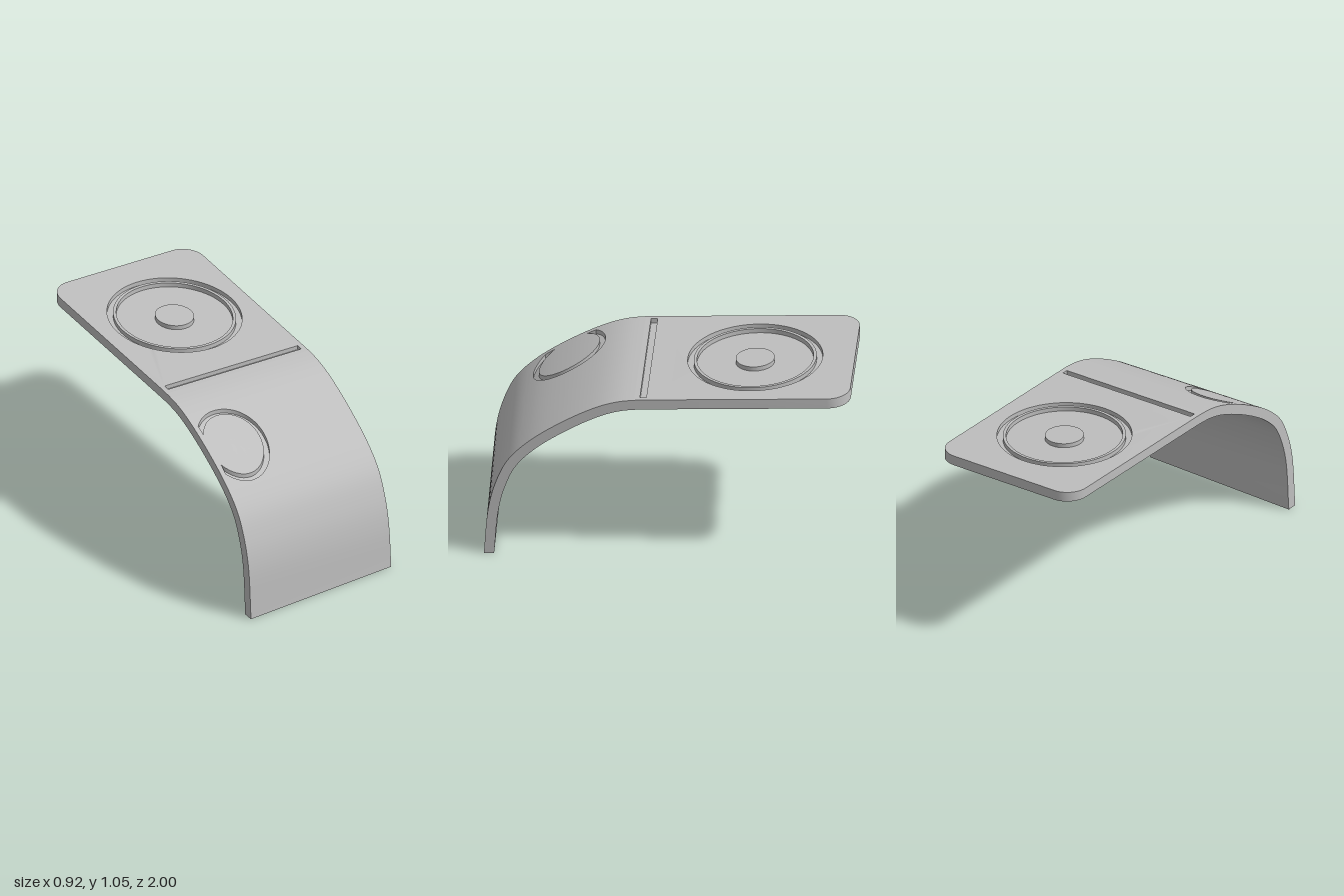
import * as THREE from 'three';
import { mergeGeometries, toCreasedNormals } from 'three/addons/utils/BufferGeometryUtils.js';

const HALF = 0.46, CORNER = 0.12, THICK = 0.057, DEPTH = 0.025;
const FLAT_END = 0.166, CURVE_END = 0.8;

// Side profile of the outer face as [z, y], from the back edge to the foot
const flatY = (z) => 1.007 - 0.043 * z;
const profile = [];
for (let i = 0; i <= 8; i++) {
  const z = -1 + CORNER * (1 - Math.cos((i / 8) * Math.PI / 2));
  profile.push([z, flatY(z)]);
}
const bend = new THREE.CatmullRomCurve3([
  [0.05, flatY(0.05)], [0.17, 0.998], [0.27, 0.983], [0.38, 0.947], [0.568, 0.852],
  [0.755, 0.727], [0.87, 0.61], [0.935, 0.475], [0.975, 0.32], [1, 0],
].map(([z, y]) => new THREE.Vector3(0, y, z)));
bend.getSpacedPoints(56).forEach((p) => profile.push([p.z, p.y]));

// Outer height at a given z
function height(z) {
  let i = 1;
  while (i < profile.length - 1 && profile[i][0] < z) i++;
  const [a, b] = [profile[i - 1], profile[i]];
  return a[1] + (b[1] - a[1]) * (z - a[0]) / (b[0] - a[0]);
}

// Inner profile, offset along the normal
const inner = profile.map((p, i) => {
  const a = profile[Math.max(i - 1, 0)], b = profile[Math.min(i + 1, profile.length - 1)];
  const dz = b[0] - a[0], dy = b[1] - a[1], l = Math.hypot(dz, dy);
  const y = p[1] - THICK * dz / l;
  return [p[0] + THICK * dy / l, i === profile.length - 1 ? 0 : y];
});

// Slight sideways tilt of the whole strip
function warp([x, y, z]) {
  const t = (x + HALF) / (2 * HALF);
  return [x, y - 0.048 * t * Math.min(1, y / 0.3), z > 0 ? z * (1 - 0.025 * t) : z];
}

// Skin between successive rows of points
function loft(rows) {
  const out = [];
  for (let i = 0; i < rows.length - 1; i++) {
    for (let j = 0; j < rows[i].length - 1; j++) {
      const a = rows[i][j], b = rows[i][j + 1], c = rows[i + 1][j], d = rows[i + 1][j + 1];
      for (const p of [a, c, b, b, c, d]) out.push(...warp(p));
    }
  }
  const g = new THREE.BufferGeometry();
  g.setAttribute('position', new THREE.Float32BufferAttribute(out, 3));
  return g;
}

const onTop = (x, z, drop = 0) => [x, height(z) - drop, z];

function circleRing(cz, r, drop, n = 96) {
  return Array.from({ length: n + 1 }, (_, i) => {
    const a = (i / n) * Math.PI * 2;
    return onTop(r * Math.cos(a), cz + r * Math.sin(a), drop);
  });
}

// Underside, rims and both end faces in one U-shaped skin
function shellGeometry() {
  const cols = 12;
  const halfAt = (i) => (i > 8 ? HALF
    : HALF - CORNER + CORNER * Math.sin((i / 8) * Math.PI / 2));
  const row = (i, collapsed) => {
    const w = halfAt(i), [z, y] = profile[i], [iz, iy] = collapsed ? profile[i] : inner[i];
    const pts = [[w, y, z]];
    for (let c = 0; c <= cols; c++) pts.push([w - 2 * w * c / cols, iy, iz]);
    pts.push([-w, y, z]);
    return pts;
  };
  const last = profile.length - 1;
  return loft([row(0, true), ...profile.map((_, i) => row(i, false)), row(last, true)]);
}

// Flat top with openings for the dial and the slot
const DIAL_Z = -0.46, DIAL_R = 0.365;
const SLOT = { x: 0.43, z0: 0.1, z1: 0.136 };
function topGeometry() {
  const s = new THREE.Shape();
  s.moveTo(-HALF, -FLAT_END);
  s.lineTo(HALF, -FLAT_END);
  s.absarc(HALF - CORNER, 1 - CORNER, CORNER, 0, Math.PI / 2, false);
  s.absarc(-HALF + CORNER, 1 - CORNER, CORNER, Math.PI / 2, Math.PI, false);
  s.closePath();
  s.holes.push(new THREE.Path().absarc(0, -DIAL_Z, DIAL_R, 0, Math.PI * 2, true));
  s.holes.push(new THREE.Path([
    [-SLOT.x, -SLOT.z1], [-SLOT.x, -SLOT.z0], [SLOT.x, -SLOT.z0], [SLOT.x, -SLOT.z1],
  ].map(([x, y]) => new THREE.Vector2(x, y))));
  const g = new THREE.ShapeGeometry(s, 48).toNonIndexed();
  const pos = g.attributes.position;
  for (let i = 0; i < pos.count; i++) {
    const z = -pos.getY(i);
    pos.setXYZ(i, ...warp([pos.getX(i), height(z), z]));
  }
  return g;
}

// Ring groove, thin ridge, sunken floor and centre disc
function dialGeometry() {
  return loft([
    [DIAL_R, 0], [DIAL_R, DEPTH], [0.332, DEPTH], [0.332, 0], [0.315, 0],
    [0.315, DEPTH], [0.105, DEPTH], [0.105, 0], [0, 0],
  ].map(([r, d]) => circleRing(DIAL_Z, r, d)));
}

function slotGeometry() {
  const { x, z0, z1 } = SLOT, mid = (z0 + z1) / 2;
  const ring = [[x, z0], [x, z1], [-x, z1], [-x, z0], [x, z0]];
  return loft([
    ring.map(([px, pz]) => onTop(px, pz)),
    ring.map(([px, pz]) => onTop(px, pz, DEPTH)),
    ring.map(([px]) => onTop(px, mid, DEPTH)),
  ]);
}

// Curved front with the open round groove, then the drop to the foot
function curveGeometry() {
  const cx = -0.29, cz = 0.57, cut = 0.14, n = 40;
  const corners = [[HALF, FLAT_END], [HALF, CURVE_END], [-HALF, CURVE_END], [-HALF, FLAT_END]];
  const edge = [];
  corners.forEach((a, k) => {
    const b = corners[(k + 1) % 4];
    for (let i = 0; i < n; i++) {
      edge.push([a[0] + (b[0] - a[0]) * i / n, a[1] + (b[1] - a[1]) * i / n]);
    }
  });
  edge.push(edge[0]);
  // f: 0 to 1 from the ring of radius r out to the patch edge
  const ring = (r, drop, f = 0, scale = 1) => edge.map(([ex, ez]) => {
    const dx = ex - cx, dz = ez - cz, l = Math.hypot(dx, dz);
    const reach = Math.min(r, dx < 0 ? cut * l / -dx : r) * scale;
    const k = (reach + (l - reach) * f) / l;
    return onTop(cx + dx * k, cz + dz * k, drop);
  });
  const rings = [];
  for (let i = 16; i >= 0; i--) rings.push(ring(0.196, 0, i / 16));
  rings.push(ring(0.196, DEPTH), ring(0.165, DEPTH));
  for (let i = 8; i >= 0; i--) rings.push(ring(0.165, 0, 0, i / 8));

  const drop = [[CURVE_END, height(CURVE_END)], ...profile.filter((p) => p[0] > CURVE_END + 0.002)];
  const rows = drop.map(([z, y]) =>
    Array.from({ length: n + 1 }, (_, i) => [-HALF + 2 * HALF * i / n, y, z]));
  return mergeGeometries([loft(rings), loft(rows)]);
}

export function createModel() {
  const group = new THREE.Group();
  group.name = 'bentStand';
  const grey = new THREE.MeshStandardMaterial({ color: 0xbfbfbf });
  grey.name = 'grey';
  const parts = {
    undersideAndRims: shellGeometry(),
    topPlate: topGeometry(),
    dialRecess: dialGeometry(),
    slot: slotGeometry(),
    curvedFront: curveGeometry(),
  };
  for (const [name, geometry] of Object.entries(parts)) {
    const mesh = new THREE.Mesh(toCreasedNormals(geometry, 0.6), grey);
    mesh.name = name;
    group.add(mesh);
  }
  return group;
}
